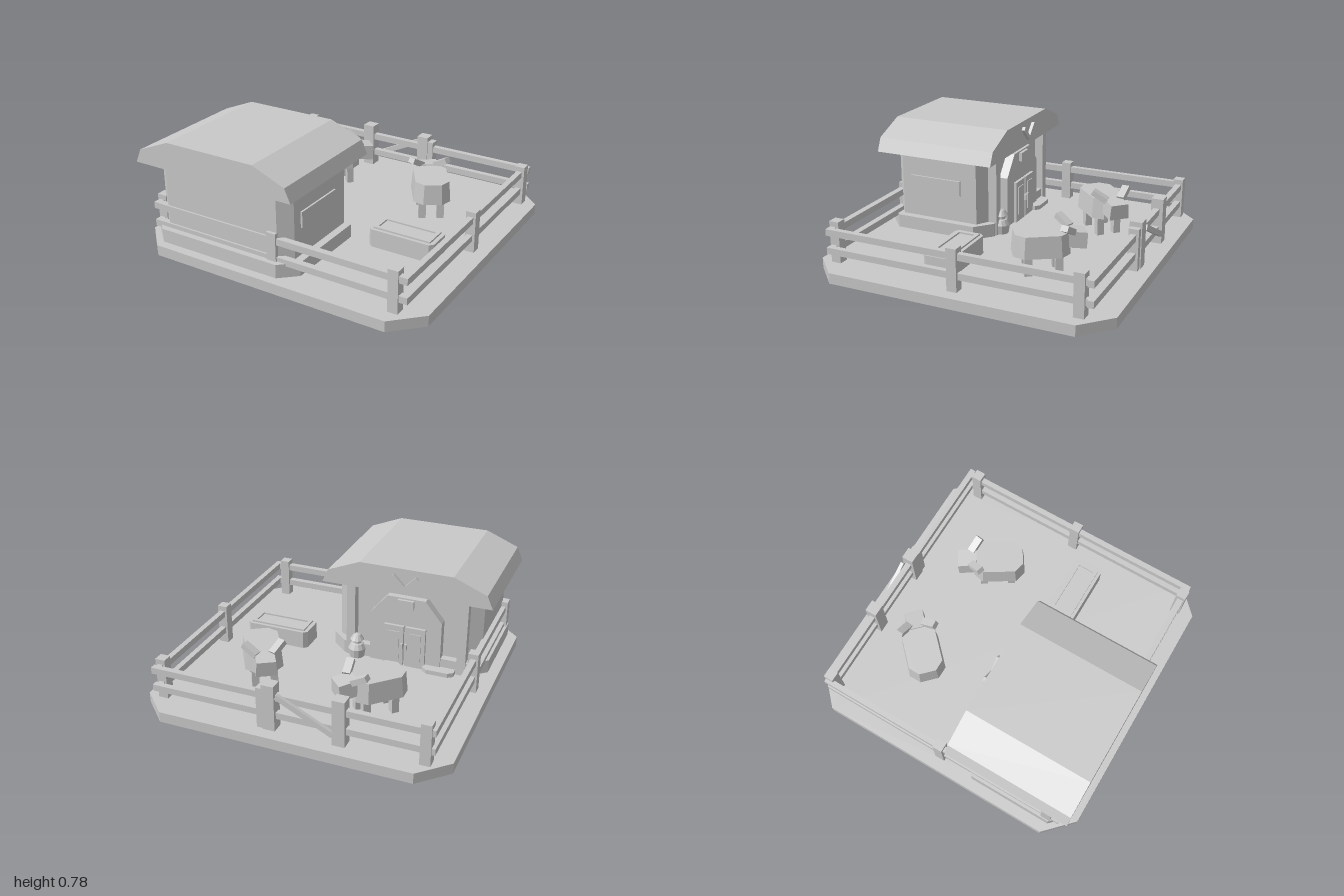
import * as THREE from 'three';

const stone = new THREE.MeshStandardMaterial({ color: 0xc9c9c9, flatShading: true, side: THREE.DoubleSide });
stone.name = 'plainGrey';

// Uprights poke slightly through the thin ground sheet
const SUNK = 0.063;

function add(parent, name, geometry, x = 0, y = 0, z = 0) {
  const mesh = new THREE.Mesh(geometry, stone);
  mesh.name = name;
  mesh.position.set(x, y, z);
  parent.add(mesh);
  return mesh;
}

// Box given by its limits on each axis
function block(parent, name, x0, x1, y0, y1, z0, z1) {
  return add(parent, name, new THREE.BoxGeometry(x1 - x0, y1 - y0, z1 - z0),
    (x0 + x1) / 2, (y0 + y1) / 2, (z0 + z1) / 2);
}

// Square post standing in the ground
function post(parent, name, x, z, half, top) {
  return block(parent, name, x - half, x + half, SUNK, top, z - half, z + half);
}

const toShape = (points) => new THREE.Shape(points.map(([x, y]) => new THREE.Vector2(x, y)));

// Outline in x and y pushed along z
function extrude(points, depth) {
  return new THREE.ExtrudeGeometry(toShape(points), { depth, bevelEnabled: false });
}

// Rectangle with cut corners in x and -z: cx along x, cz along z, cb for the back corners
function cutRectangle(x0, x1, z0, z1, cx, cz, cb = cz) {
  return [
    [x0 + cx, -z1], [x1 - cx, -z1], [x1, -z1 + cz], [x1, -z0 - cb],
    [x1 - cx, -z0], [x0 + cx, -z0], [x0, -z0 - cb], [x0, -z1 + cz],
  ];
}

// Upright slab with cut corners
function slab(x0, x1, z0, z1, height, cx, cz, cb) {
  return extrude(cutRectangle(x0, x1, z0, z1, cx, cz, cb), height).rotateX(-Math.PI / 2);
}

// Shrink the upper half of a geometry sideways
function taper(geometry, midY, sx, sz) {
  const p = geometry.attributes.position;
  for (let i = 0; i < p.count; i++) {
    if (p.getY(i) > midY) p.setXYZ(i, p.getX(i) * sx, p.getY(i), p.getZ(i) * sz);
  }
  geometry.computeVertexNormals();
  return geometry;
}

// Ground tray: a top sheet with a skirt, open underneath
function buildGround() {
  const ground = new THREE.Group();
  ground.name = 'ground';
  const outline = cutRectangle(-1, 1, -0.98, 0.98, 0.18, 0.175);
  add(ground, 'groundTop', new THREE.ShapeGeometry(toShape(outline)).rotateX(-Math.PI / 2), 0, 0.07, 0);
  const corners = [];
  outline.forEach(([x, y], i) => {
    const [nx, ny] = outline[(i + 1) % outline.length];
    corners.push(x, 0, -y, nx, 0, -ny, nx, 0.07, -ny, x, 0, -y, nx, 0.07, -ny, x, 0.07, -y);
  });
  const skirt = new THREE.BufferGeometry();
  skirt.setAttribute('position', new THREE.Float32BufferAttribute(corners, 3));
  skirt.computeVertexNormals();
  add(ground, 'groundSkirt', skirt);
  return ground;
}

function buildHouse() {
  const house = new THREE.Group();
  house.name = 'house';
  const mid = -0.385;
  add(house, 'plinth', slab(-0.93, 0.16, 0.15, 0.92, 0.097, 0.11, 0.1), 0, SUNK, 0);
  add(house, 'walls', slab(-0.88, 0.11, 0.2, 0.868, 0.53, 0.08, 0.067, 0.05), 0, 0.07, 0);

  // Solid curved roof, flat underneath
  add(house, 'roof', extrude([
    [-0.96, 0.6], [0.19, 0.6], [0.15, 0.69], [-0.07, 0.78], [-0.7, 0.78], [-0.92, 0.69],
  ], 0.84), 0, 0, 0.105);

  // Entrance surround with cut upper corners
  add(house, 'doorSurround', extrude([
    [mid - 0.245, 0.07], [mid + 0.245, 0.07], [mid + 0.245, 0.42],
    [mid + 0.13, 0.56], [mid - 0.13, 0.56], [mid - 0.245, 0.42],
  ], 0.08), 0, 0, 0.14);
  for (const s of [-1, 1]) {
    const x = mid + s * 0.075;
    block(house, 'doorLeaf', x - 0.068, x + 0.068, 0.07, 0.36, 0.12, 0.145);
    block(house, 'doorPanel', x - 0.04, x + 0.04, 0.12, 0.32, 0.114, 0.122);
    block(house, 'doorHandle', x - s * 0.06 - 0.008, x - s * 0.06 + 0.008, 0.2, 0.24, 0.1, 0.125);
    block(house, 'porchPost', mid + s * 0.385 - 0.03, mid + s * 0.385 + 0.03, 0.07, 0.61, 0.14, 0.21);
    // Crossed horn ornament on the gable
    const horn = add(house, 'gableHorn', new THREE.BoxGeometry(0.12, 0.028, 0.025), mid + s * 0.042, 0.69, 0.096);
    horn.rotation.z = s * 0.8;
  }
  block(house, 'doorSign', mid - 0.055, mid + 0.055, 0.49, 0.55, 0.12, 0.15);
  block(house, 'sideWindow', 0.1, 0.122, 0.34, 0.445, 0.365, 0.735);
  add(house, 'doorStone', slab(-0.735, -0.52, 0.077, 0.2, 0.03, 0.035, 0.025), 0, 0.07, 0);

  // Squat pot lantern beside the entrance
  const profile = [[0, 0], [0.052, 0], [0.06, 0.06], [0.042, 0.095], [0.03, 0.1],
    [0.03, 0.12], [0.048, 0.125], [0.025, 0.16], [0, 0.17]];
  add(house, 'lantern', new THREE.LatheGeometry(profile.map(([r, y]) => new THREE.Vector2(r, y)), 12),
    -0.045, 0.07, 0.143);
  return house;
}

function buildFence() {
  const fence = new THREE.Group();
  fence.name = 'fence';
  const posts = [[-0.855, -0.855], [0.885, -0.79], [0.885, 0], [-0.89, 0],
    [0.815, 0.855], [0, 0.857], [-0.89, 0.795], [0.16, -0.86]];
  for (const [x, z] of posts) post(fence, 'fencePost', x, z, 0.033, 0.343);
  for (const y of [0.145, 0.267]) {
    const top = y + 0.043;
    block(fence, 'frontRail', -0.91, 0.9, y, top, 0.838, 0.88);
    block(fence, 'leftRail', 0.865, 0.902, y, top, -0.875, 0.88);
    block(fence, 'rightRail', -0.91, -0.873, y, top, -0.875, 0.88);
    block(fence, 'backRail', -0.91, 0.918, y, top, -0.877, -0.838);
  }

  // Gate: two taller posts and a diagonal plank
  for (const x of [-0.335, 0.112]) post(fence, 'gatePost', x, -0.86, 0.04, 0.375);
  const brace = add(fence, 'gateBrace', new THREE.BoxGeometry(0.4, 0.035, 0.024), -0.12, 0.225, -0.892);
  brace.rotation.z = 0.46;
  return fence;
}

// Low-poly farm animal whose head points along local +z
function buildAnimal(x, z, headingX, headingZ) {
  const animal = new THREE.Group();
  animal.name = 'animal';
  animal.position.set(x, 0, z);
  animal.rotation.y = Math.atan2(headingX, headingZ);

  const body = taper(slab(-0.122, 0.122, -0.19, 0.16, 0.138, 0.06, 0.06), 0.07, 0.91, 0.94);
  add(animal, 'body', body, 0, 0.197, 0);

  const head = taper(new THREE.BoxGeometry(0.135, 0.1, 0.14), 0, 0.9, 0.92);
  add(animal, 'head', head, 0, 0.285, 0.195).rotation.x = 0.12;
  for (const s of [-1, 1]) {
    // Ears sweep back and up
    const ear = add(animal, 'ear', new THREE.BoxGeometry(0.11, 0.038, 0.05), s * 0.085, 0.36, 0.14);
    ear.rotation.set(0, s * 0.7, s * 0.5, 'YXZ');
    for (const legZ of [-0.1, 0.09]) post(animal, 'leg', s * 0.06, legZ, 0.024, 0.21);
  }
  return animal;
}

function buildTrough() {
  const trough = new THREE.Group();
  trough.name = 'trough';
  add(trough, 'troughBody', slab(0.308, 0.757, 0.088, 0.29, 0.127, 0.025, 0.025), 0, SUNK, 0);
  // Shallow rim around the filling
  const rim = toShape([[0.335, -0.268], [0.73, -0.268], [0.73, -0.11], [0.335, -0.11]]);
  rim.holes.push(toShape([[0.36, -0.243], [0.36, -0.135], [0.705, -0.135], [0.705, -0.243]]));
  const rimGeometry = new THREE.ExtrudeGeometry(rim, { depth: 0.011, bevelEnabled: false });
  add(trough, 'troughRim', rimGeometry.rotateX(-Math.PI / 2), 0, 0.19, 0);
  return trough;
}

export function createModel() {
  const model = new THREE.Group();
  model.name = 'farmyard';
  model.add(buildGround(), buildHouse(), buildFence(), buildTrough());
  model.add(buildAnimal(-0.395, -0.45, 0.7, -0.7), buildAnimal(0.413, -0.36, -0.53, -0.85));
  return model;
}
